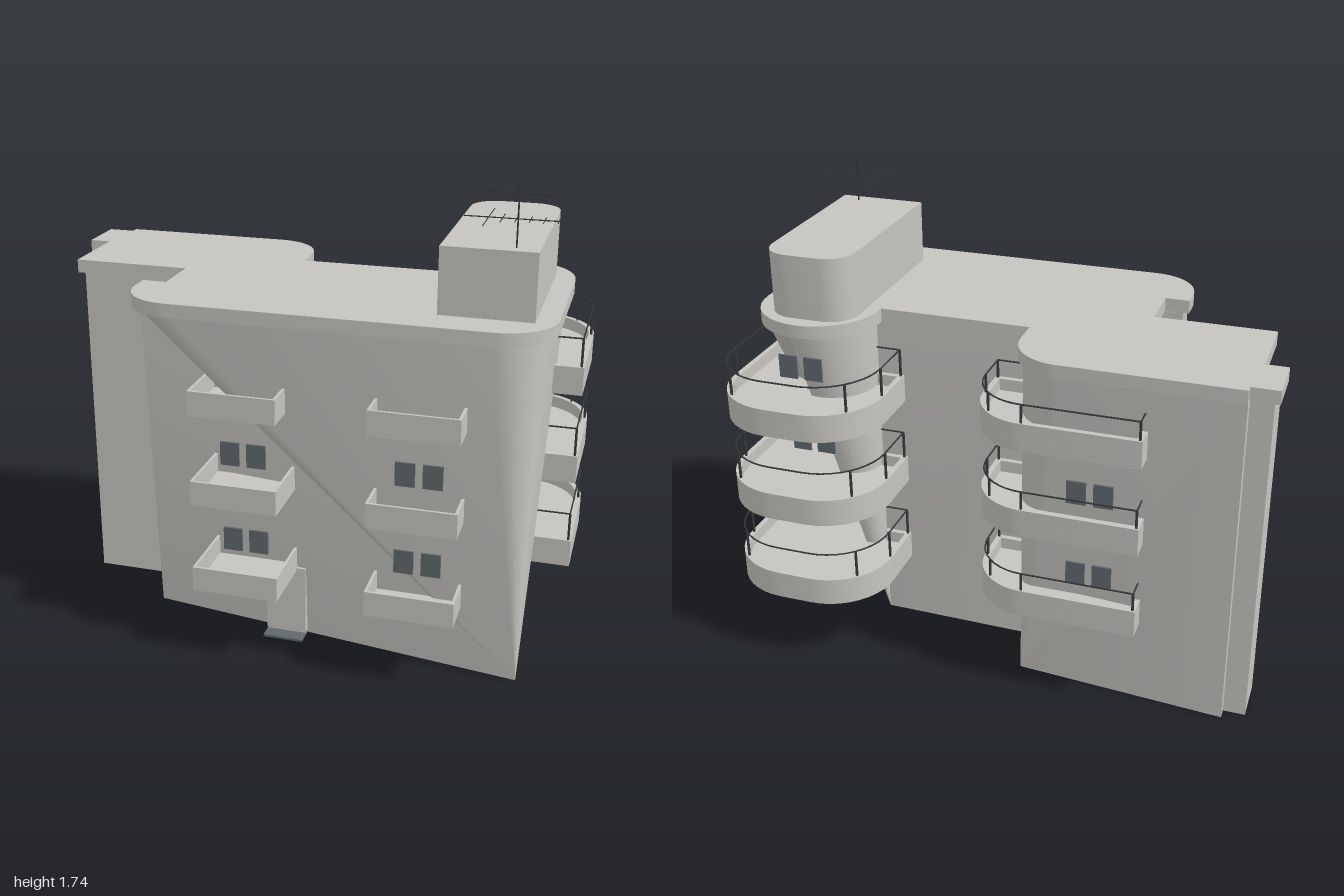
import * as THREE from 'three';
import { toCreasedNormals } from 'three/addons/utils/BufferGeometryUtils.js';

const mat = (name, color, side = THREE.FrontSide) => {
  const m = new THREE.MeshStandardMaterial({ color, side });
  m.name = name;
  return m;
};

// Points of an arc in plan, as [x, z]
function arc(cx, cz, r, a0, a1, n = 10) {
  const pts = [];
  for (let i = 0; i <= n; i++) {
    const a = THREE.MathUtils.degToRad(a0 + ((a1 - a0) * i) / n);
    pts.push([cx + r * Math.cos(a), cz + r * Math.sin(a)]);
  }
  return pts;
}

// Upright prism over a plan outline
function slab(outline, y0, y1) {
  const shape = new THREE.Shape(outline.map(([x, z]) => new THREE.Vector2(x, z)));
  const g = new THREE.ExtrudeGeometry(shape, { depth: y1 - y0, bevelEnabled: false });
  return toCreasedNormals(g.rotateX(Math.PI / 2).translate(0, y1, 0), 0.5);
}

// Closed band of given thickness on the inner side of an open plan line
function band(line, t) {
  const dir = (a, b) => new THREE.Vector2(b[0] - a[0], b[1] - a[1]).normalize();
  const inner = line.map((p, i) => {
    const d0 = i > 0 ? dir(line[i - 1], p) : dir(p, line[1]);
    const d1 = i < line.length - 1 ? dir(p, line[i + 1]) : d0;
    const k = t / (1 + d0.dot(d1));
    return [p[0] + (d0.y + d1.y) * k, p[1] - (d0.x + d1.x) * k];
  });
  return { inner, outline: [...line, ...[...inner].reverse()] };
}

export function createModel() {
  const model = new THREE.Group();
  model.name = 'apartmentBuilding';
  const concrete = mat('concrete', 0xc5c4c0);
  const shell = mat('wallConcrete', 0xc5c4c0, THREE.DoubleSide);
  const glass = mat('windowGlass', 0x60686c);
  const metal = mat('darkMetal', 0x35383a);

  const add = (parent, name, geometry, material) => {
    const m = new THREE.Mesh(geometry, material);
    m.name = name;
    parent.add(m);
    return m;
  };
  const group = (name) => {
    const g = new THREE.Group();
    g.name = name;
    model.add(g);
    return g;
  };
  const box = (parent, name, x0, x1, y0, y1, z0, z1, material = concrete) =>
    add(parent, name, new THREE.BoxGeometry(x1 - x0, y1 - y0, z1 - z0)
      .translate((x0 + x1) / 2, (y0 + y1) / 2, (z0 + z1) / 2), material);
  const rod = (parent, name, a, b, r) => {
    const A = new THREE.Vector3(...a), B = new THREE.Vector3(...b);
    const m = add(parent, name, new THREE.CylinderGeometry(r, r, A.distanceTo(B), 6), metal);
    m.position.copy(A).add(B).multiplyScalar(0.5);
    m.quaternion.setFromUnitVectors(new THREE.Vector3(0, 1, 0), B.sub(A).normalize());
  };

  // Walls: rounded corners under the roof shrink to sharp corners at the ground
  const H = 1.26;
  const tri = [];
  const top = ([x, z]) => [x, H, z];
  const low = ([x, z]) => [x, 0, z];
  const face = (a, b, c) => tri.push(...a, ...b, ...c);
  const quad = (a, b, c, d) => { face(a, b, c); face(a, c, d); };
  const fan = (apex, pts) => {
    for (let i = 1; i < pts.length; i++) face(low(apex), top(pts[i]), top(pts[i - 1]));
  };
  const wing = [[-0.55, 0.24], [-0.46, 0.24], [-0.46, 0.04], [-0.9, 0.04],
    [-0.9, -0.24], [-0.98, -0.24], [-0.98, -0.4], [-0.9, -0.4], [-0.9, -0.44]];
  for (let i = 1; i < wing.length; i++) {
    quad(low(wing[i]), low(wing[i - 1]), top(wing[i - 1]), top(wing[i]));
  }
  const B = [0.87, 0.43], C = [0.51, -0.16], D = [-0.12, -0.17], E = [-0.12, -0.38];
  const wingArc = arc(-0.28, -0.26, 0.18, 270, 360);
  quad(low(E), low([-0.9, -0.44]), top([-0.9, -0.44]), top(wingArc[0]));
  fan(E, [...wingArc].reverse());
  quad(low(D), low(E), top([-0.1, -0.26]), top([-0.1, -0.17]));
  quad(low(C), low(D), top([-0.1, -0.17]), top([0.5, -0.17]));
  const towerArc = arc(0.7, -0.2, 0.2, 180, 360, 16);
  fan(C, [...towerArc.slice(0, 10).reverse(), [0.5, -0.17]]);
  fan(B, [[-0.55, 0.33], ...arc(-0.39, 0.33, 0.155, 180, 90), ...arc(0.74, 0.33, 0.16, 90, 0),
    ...towerArc.slice(9).reverse()]);
  face([-0.55, H, 0.33], low(wing[0]), low(B));
  face([-0.55, H, 0.33], top(wing[0]), low(wing[0]));

  // Sloping stairwell wall with an opening at the ground
  const M = new THREE.Vector3(...top(towerArc[9]));
  const VB = new THREE.Vector3(...low(B)), VC = new THREE.Vector3(...low(C));
  const onWall = (u, t) => VB.clone().lerp(VC, u).lerp(M, t).toArray();
  face(onWall(0, 0.27), onWall(1, 0.27), M.toArray());
  quad(onWall(0, 0), onWall(0.1, 0), onWall(0.1, 0.27), onWall(0, 0.27));
  const wallGeo = new THREE.BufferGeometry();
  wallGeo.setAttribute('position', new THREE.Float32BufferAttribute(tri, 3));
  wallGeo.computeVertexNormals();
  add(model, 'walls', toCreasedNormals(wallGeo, 0.35), shell);
  add(model, 'groundFloor', slab([...wing, E, D, C, B], 0, 0.005), concrete);

  // Stairs seen through the opening
  const stairs = group('stairs');
  for (let i = 0; i < 7; i++) {
    const z = 0.13 - i * 0.027;
    box(stairs, 'step', 0.22, 0.4, 0.28 - i * 0.02, 0.3 - i * 0.02, z - 0.027, z);
  }
  box(stairs, 'stairWall', 0.2, 0.22, 0, 0.32, -0.14, 0.14);

  // Roof slab and penthouse
  const roof = [[-1, -0.42], [-1, -0.23], [-0.92, -0.23], [-0.92, 0.06], [-0.48, 0.06],
    [-0.48, 0.25], [-0.57, 0.25], ...arc(-0.39, 0.32, 0.18, 180, 90), ...arc(0.74, 0.31, 0.19, 90, 0),
    ...arc(0.705, -0.185, 0.225, 360, 180, 18), [0.48, -0.17], [-0.085, -0.17],
    ...arc(-0.265, -0.27, 0.18, 360, 270), [-0.9, -0.45], [-0.9, -0.42]];
  add(model, 'roofSlab', slab(roof, 1.26, 1.31), concrete);
  const penthouse = [[0.53, 0.365], [0.855, 0.365],
    ...arc(0.755, -0.25, 0.1, 360, 270, 6), ...arc(0.63, -0.25, 0.1, 270, 180, 6)];
  add(model, 'penthouse', slab(penthouse, 1.31, 1.545), concrete);

  // Aerial
  const aerial = group('aerial');
  rod(aerial, 'mast', [0.775, 1.54, 0.32], [0.775, 1.74, 0.32], 0.003);
  rod(aerial, 'upperBoom', [0.63, 1.725, 0.32], [0.89, 1.725, 0.32], 0.002);
  rod(aerial, 'lowerBoom', [0.6, 1.64, 0.32], [0.94, 1.64, 0.32], 0.002);
  [0.13, 0.06, 0.05, 0.04, 0.04, 0.03].forEach((w, i) => {
    const x = 0.68 + i * 0.045;
    rod(aerial, 'element', [x, 1.64, 0.32 - w], [x, 1.64, 0.32 + w], 0.0015);
  });

  // Rounded balconies with railings
  const roundBalcony = (name, line, y0, railHeight, posts) => {
    const g = group(name);
    const { inner, outline } = band(line, 0.02);
    add(g, 'floor', slab(line, y0, y0 + 0.06), concrete);
    add(g, 'parapet', slab(outline, y0 + 0.06, y0 + 0.105), concrete);
    const rail = inner.map(([x, z], i) => [(x + line[i][0]) / 2, y0 + railHeight, (z + line[i][1]) / 2]);
    for (let i = 1; i < rail.length; i++) rod(g, 'handrail', rail[i - 1], rail[i], 0.003);
    posts.forEach((i) => {
      const p = rail.at(i);
      rod(g, 'post', [p[0], y0 + 0.09, p[2]], p, 0.005);
    });
  };
  const towerLine = [[0.86, 0.035], [1, 0.035], ...arc(0.765, -0.355, 0.235, 360, 270),
    ...arc(0.635, -0.355, 0.235, 270, 180), [0.4, -0.17], [0.5, -0.17]];
  const wingLine = [[-0.11, -0.17], [0.04, -0.17], ...arc(-0.16, -0.31, 0.2, 360, 270), [-0.58, -0.51], [-0.58, -0.43]];
  for (let i = 0; i < 3; i++) {
    roundBalcony('towerBalcony', towerLine, 0.27 + i * 0.34, 0.21, [1, 2, 7, 18, 23, -2]);
    roundBalcony('wingBalcony', wingLine, 0.33 + i * 0.335, 0.173, [1, 2, 7, 12, -2]);
  }

  // Front balconies, windows and back windows
  const windowPair = (x, y, z) => [0, 0.097].forEach((dx) =>
    box(model, 'window', x + dx, x + dx + 0.07, y, y + 0.088, z - 0.004, z + 0.004, glass));
  [[-0.28, 0.33], [0.35, 0.43]].forEach(([x, back]) => {
    for (let i = 0; i < 3; i++) {
      const y = 0.27 + i * 0.337, w = 0.315;
      const g = group('frontBalcony');
      box(g, 'floor', x, x + w, y, y + 0.02, back, 0.59);
      box(g, 'frontParapet', x, x + w, y, y + 0.092, 0.58, 0.59);
      [x, x + w - 0.01].forEach((sx) => box(g, 'sideParapet', sx, sx + 0.01, y, y + 0.092, back, 0.59));
    }
    [0.383, 0.725].forEach((y) => windowPair(x + 0.075, y, 0.442 + y * 0.044));
  });
  [[0.45, -0.421], [0.785, -0.431]].forEach(([y, z]) => windowPair(-0.47, y, z));
  [0.45, 0.78, 1.1].forEach((y) => windowPair(0.615, y, -0.19 - 0.18 * (y + 0.09)));

  // Entrance
  const door = group('entrance');
  box(door, 'door', -0.08, 0.07, 0.01, 0.28, 0.27, 0.35);
  box(door, 'doormat', -0.08, 0.07, 0, 0.009, 0.32, 0.4, glass);
  return model;
}
